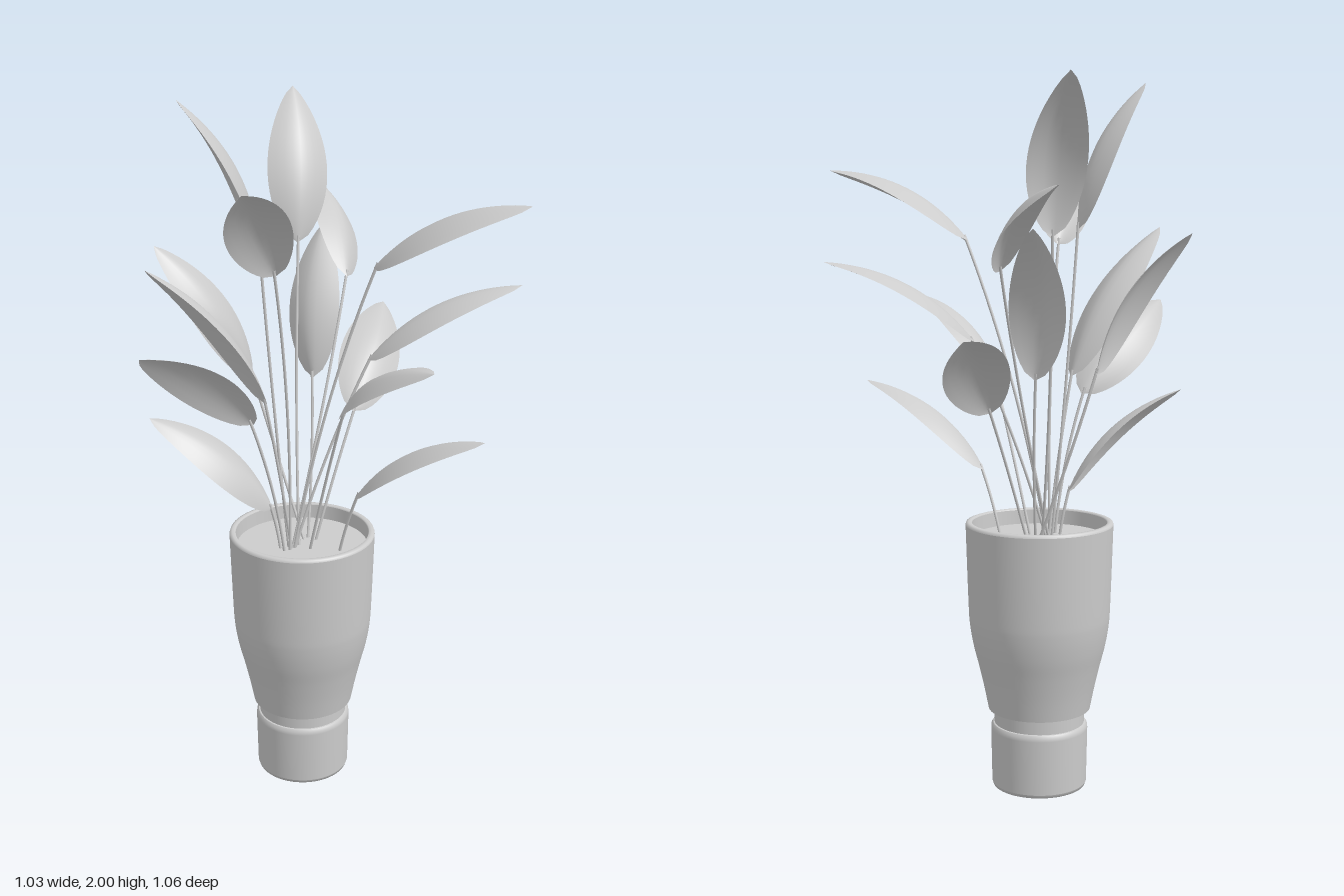
import * as THREE from 'three';

const material = new THREE.MeshStandardMaterial({ color: 0xcccccc });
const thin = new THREE.MeshStandardMaterial({ color: 0xcccccc, side: THREE.DoubleSide });
const UP = new THREE.Vector3(0, 1, 0);

// Each shoot: leaf base x, y, z, leaf tip x, y, z, leaf width, roll in degrees, stem root x, z
const SHOOTS = [
  [-0.14, 1.59, -0.04, -0.355, 1.995, -0.035, 0.17, -8, -0.07, -0.02],
  [-0.128, 1.55, 0.06, -0.313, 1.825, 0.365, 0.17, 28, -0.075, 0],
  [0.025, 1.57, -0.205, 0.083, 1.97, -0.405, 0.175, 15, -0.04, -0.02],
  [0.128, 1.56, 0.1, 0.423, 1.757, 0.4, 0.2, 10, -0.06, -0.01],
  [0.145, 1.48, -0.135, 0.183, 1.69, -0.53, 0.15, 32, -0.065, -0.015],
  [0.143, 1.285, 0.03, 0.515, 1.503, 0.2, 0.17, 3, -0.06, -0.01],
  [-0.14, 1.18, 0.0, -0.48, 1.6, 0.08, 0.17, 0, -0.065, -0.01],
  [-0.18, 1.13, 0.01, -0.515, 1.385, 0.127, 0.17, 36, -0.09, 0],
  [-0.115, 0.855, -0.03, -0.44, 1.14, -0.108, 0.16, -25, -0.095, -0.02],
  [0.147, 1.1, -0.08, 0.37, 1.32, -0.4, 0.18, 28, 0.015, -0.04],
  [0.05, 1.19, -0.15, 0.15, 1.59, -0.335, 0.16, -20, 0, -0.06],
  [-0.118, 1.2, -0.185, -0.372, 1.58, -0.258, 0.16, -36, -0.01, -0.05],
  [0.028, 1.177, 0.14, 0.11, 1.4, 0.53, 0.17, 21, -0.02, 0.01],
  [0.085, 0.915, 0.1, 0.316, 1.155, 0.412, 0.16, 8, 0.055, 0.05],
];

function add(group, name, geometry, mat) {
  const mesh = new THREE.Mesh(geometry, mat);
  mesh.name = name;
  group.add(mesh);
  return mesh;
}

// Ovate blade: arched along its length, edges drooping from the midrib
function leafGeometry(base, tip, side, normal, width, arch) {
  const rows = 20, cols = 8, positions = [], index = [];
  for (let i = 0; i <= rows; i++) {
    const u = i / rows;
    const half = width / 2 * Math.pow(Math.max(0, Math.sin(Math.PI * Math.pow(u, 0.85))), 0.72);
    const spine = base.clone().lerp(tip, u).addScaledVector(normal, 4 * arch * u * (1 - u));
    for (let j = 0; j <= cols; j++) {
      const v = j / cols * 2 - 1;
      const droop = 0.38 * half * Math.pow(Math.abs(v), 1.5);
      const p = spine.clone().addScaledVector(side, v * half).addScaledVector(normal, -droop);
      positions.push(p.x, p.y, p.z);
      if (i < rows && j < cols) {
        const a = i * (cols + 1) + j, b = a + cols + 1;
        index.push(a, a + 1, b, a + 1, b + 1, b);
      }
    }
  }
  const geometry = new THREE.BufferGeometry();
  geometry.setAttribute('position', new THREE.Float32BufferAttribute(positions, 3));
  geometry.setIndex(index);
  geometry.computeVertexNormals();
  return geometry;
}

// Leaf, rolled about its own axis, with the stem that carries it
function createShoot([bx, by, bz, tx, ty, tz, width, roll, rootX, rootZ]) {
  const shoot = new THREE.Group();
  shoot.name = 'shoot';
  const base = new THREE.Vector3(bx, by, bz), tip = new THREE.Vector3(tx, ty, tz);
  const dir = tip.clone().sub(base), length = dir.length();
  dir.normalize();
  const side = dir.clone().cross(UP).normalize();
  side.applyAxisAngle(dir, THREE.MathUtils.degToRad(roll));
  const normal = side.clone().cross(dir).normalize();
  const arch = 0.053;
  add(shoot, 'leaf', leafGeometry(base, tip, side, normal, width, arch), thin);

  const root = new THREE.Vector3(rootX, 0.72, rootZ);
  const tangent = dir.clone().multiplyScalar(length).addScaledVector(normal, 4 * arch).normalize();
  const bend = base.clone().addScaledVector(tangent, -0.4 * base.distanceTo(root));
  bend.lerp(base.clone().lerp(root, 0.5), 0.7);
  const curve = new THREE.QuadraticBezierCurve3(root, bend, base.clone().addScaledVector(tangent, 0.02));
  add(shoot, 'stem', new THREE.TubeGeometry(curve, 20, 0.0042, 8), material);
  return shoot;
}

// Lathe built in separate bands so that the edges between them stay sharp
function addBands(group, name, bands) {
  for (const band of bands) {
    const points = band.map(([r, y]) => new THREE.Vector2(r, y));
    add(group, name, new THREE.LatheGeometry(points, 64), material);
  }
}

export function createModel() {
  const model = new THREE.Group();
  model.name = 'pottedPlant';

  const pot = new THREE.Group();
  pot.name = 'pot';
  pot.position.set(-0.029, 0, -0.025);
  model.add(pot);

  // Foot, with a bevelled underside and a neck groove
  addBands(pot, 'foot', [
    [[0, 0.012], [0.124, 0.012]],
    [[0.124, 0.012], [0.132, 0.015], [0.135, 0.024]],
    [[0.135, 0.024], [0.138, 0.18], [0.137, 0.19], [0.132, 0.197]],
    [[0.132, 0.197], [0.128, 0.198]],
    [[0.128, 0.198], [0.128, 0.238]],
    [[0.128, 0.238], [0.145, 0.24]],
  ]);

  // Flared body
  const flare = new THREE.SplineCurve([[0.145, 0.24], [0.157, 0.3], [0.172, 0.365], [0.187, 0.425],
    [0.197, 0.485], [0.201, 0.55], [0.208, 0.772]].map(([r, y]) => new THREE.Vector2(r, y)));
  addBands(pot, 'body', [flare.getPoints(32).map((p) => [p.x, p.y])]);

  // Rim, inner wall and soil
  addBands(pot, 'rim', [
    [[0.208, 0.772], [0.206, 0.778], [0.2, 0.78], [0.192, 0.78], [0.19, 0.776]],
    [[0.19, 0.776], [0.188, 0.735]],
  ]);
  addBands(pot, 'soil', [[[0.189, 0.735], [0, 0.735]]]);

  // Small drain plug underneath
  const plug = add(pot, 'drainPlug', new THREE.CylinderGeometry(0.004, 0.004, 0.014, 12), material);
  plug.position.set(0.06, 0.007, 0.045);

  // Foliage
  const foliage = new THREE.Group();
  foliage.name = 'foliage';
  SHOOTS.forEach((shoot) => foliage.add(createShoot(shoot)));
  model.add(foliage);
  return model;
}
